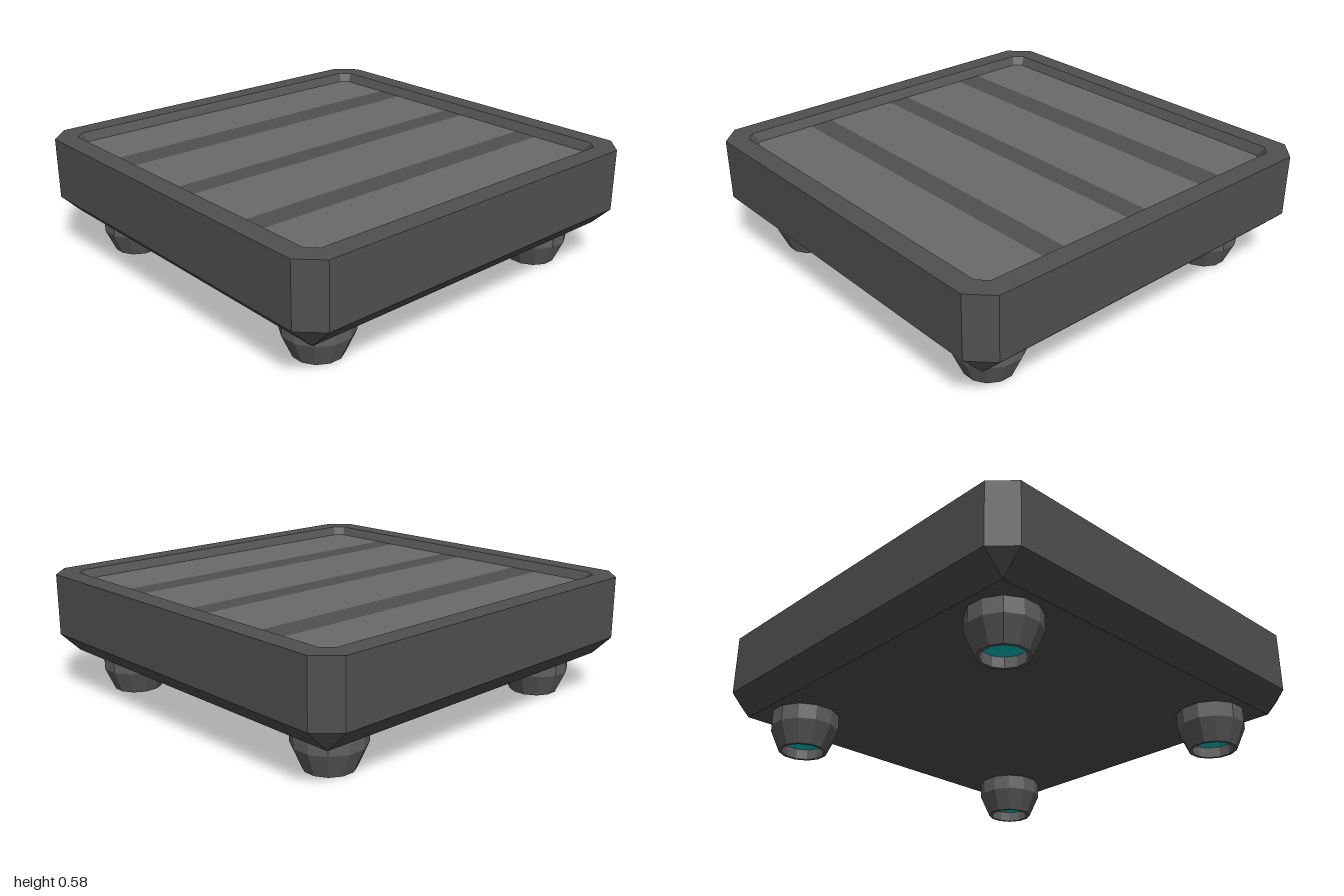
import * as THREE from 'three';

const paint = (color) => new THREE.MeshStandardMaterial({ color, flatShading: true });

// Square ring with cut corners, counterclockwise seen from above
function ring([half, cut, y]) {
  const k = half - cut;
  return [[k, half], [half, k], [half, -k], [k, -half], [-k, -half], [-half, -k], [-half, k], [-k, half]]
    .map(([x, z]) => new THREE.Vector3(x, y, z));
}

// Walls between successive rings, closed underneath
function trayGeometry(levels) {
  const rings = levels.map(ring);
  const pts = [];
  for (let i = 0; i < rings.length - 1; i++) {
    for (let j = 0; j < 8; j++) {
      const n = (j + 1) % 8;
      const a = rings[i][j], b = rings[i][n], c = rings[i + 1][n], d = rings[i + 1][j];
      if (a.distanceTo(b) > 1e-6) pts.push(a, b, c);
      if (c.distanceTo(d) > 1e-6) pts.push(i === 0 && a.distanceTo(b) < 1e-6 ? b : a, c, d);
    }
  }
  const base = rings[0];
  pts.push(base[0], base[4], base[2], base[0], base[6], base[4]);
  const geo = new THREE.BufferGeometry().setFromPoints(pts);
  geo.computeVertexNormals();
  return geo;
}

// One strip of the recessed floor, with its corners cut where it meets the ends
function stripGeometry(z0, z1, half, cut) {
  const zs = [z0, -(half - cut), half - cut, z1].filter((z) => z >= z0 && z <= z1);
  const width = (z) => Math.min(half, 2 * half - cut - Math.abs(z));
  const right = zs.map((z) => new THREE.Vector2(width(z), -z));
  const left = zs.map((z) => new THREE.Vector2(-width(z), -z)).reverse();
  return new THREE.ShapeGeometry(new THREE.Shape([...right, ...left])).rotateX(-Math.PI / 2);
}

export function createModel() {
  const group = new THREE.Group();
  const dark = paint(0x505050);
  const light = paint(0x6a6a6a);
  const footPaint = paint(0x606060);
  const teal = paint(0x00cccc);

  const add = (name, geo, mat, parent = group) => {
    const mesh = new THREE.Mesh(geo, mat);
    mesh.name = name;
    parent.add(mesh);
    return mesh;
  };

  // Tray body: bevelled underside, upright sides, rim and sloping inner wall
  add('body', trayGeometry([
    [0.9, 0, 0.185], [1, 0.1, 0.285], [1, 0.1, 0.585], [0.9, 0.045, 0.585], [0.87, 0.035, 0.545],
  ]), dark);

  // Floor: light panels alternating with dark stripes
  const edges = [-0.87, -0.56, -0.42, -0.06, 0.055, 0.425, 0.545, 0.87];
  for (let i = 0; i < edges.length - 1; i++) {
    const stripe = i % 2 === 1;
    add(stripe ? 'floorStripe' : 'floorPanel', stripGeometry(edges[i], edges[i + 1], 0.87, 0.035),
      stripe ? dark : light).position.y = 0.545;
  }

  // Hollow twelve-sided feet with a coloured disc inside
  const turn = Math.PI / 12;
  const profile = [[0.1, 0.05], [0.1, 0], [0.115, 0], [0.164, 0.11], [0.164, 0.185]]
    .map(([r, y]) => new THREE.Vector2(r, y));
  const footGeo = new THREE.LatheGeometry(profile, 12, turn);
  const discGeo = new THREE.CircleGeometry(0.1, 12, turn).rotateX(Math.PI / 2);
  for (const x of [-0.7, 0.7]) {
    for (const z of [-0.7, 0.7]) {
      const foot = new THREE.Group();
      foot.name = 'foot';
      add('footShell', footGeo, footPaint, foot);
      add('footDisc', discGeo, teal, foot).position.y = 0.05;
      foot.position.set(x, 0, z);
      group.add(foot);
    }
  }
  return group;
}
